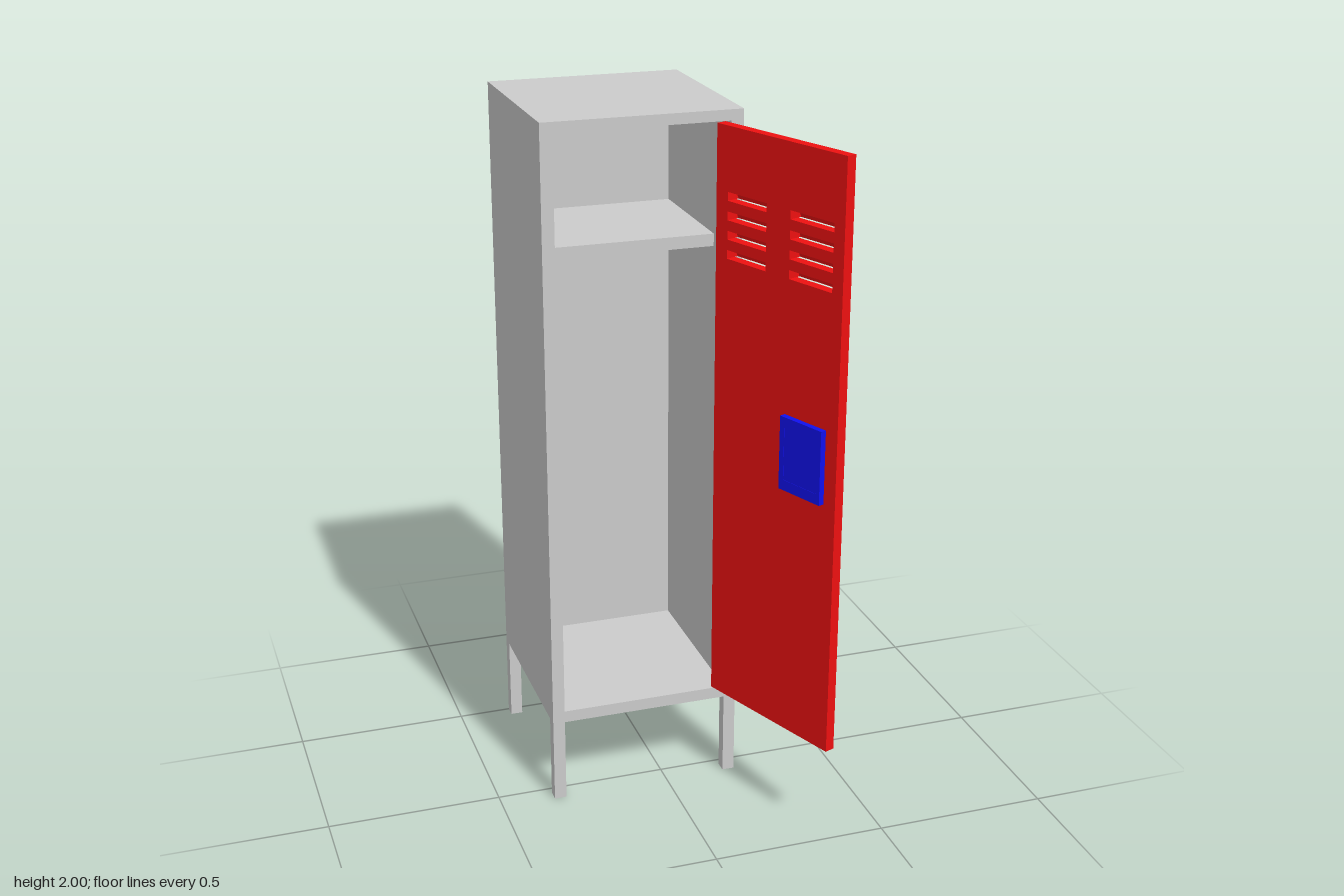
import * as THREE from 'three';

const grey = new THREE.MeshStandardMaterial({ color: 0xcccccc });
const red = new THREE.MeshStandardMaterial({ color: 0xee1111, side: THREE.DoubleSide });
const blue = new THREE.MeshStandardMaterial({ color: 0x1111ee });

// Box given by its min and max corners
function box(parent, name, [x0, y0, z0], [x1, y1, z1], material = grey) {
  const mesh = new THREE.Mesh(new THREE.BoxGeometry(x1 - x0, y1 - y0, z1 - z0), material);
  mesh.position.set((x0 + x1) / 2, (y0 + y1) / 2, (z0 + z1) / 2);
  mesh.name = name;
  parent.add(mesh);
  return mesh;
}

function rect(PathType, x0, y0, x1, y1) {
  return new PathType([[x0, y0], [x1, y0], [x1, y1], [x0, y1]].map(p => new THREE.Vector2(...p)));
}

// Plate with rectangular holes, from z0 to z1
function plate(parent, name, outline, holes, z0, z1, material) {
  const shape = rect(THREE.Shape, ...outline);
  shape.holes = holes.map(h => rect(THREE.Path, ...h));
  const geometry = new THREE.ExtrudeGeometry(shape, { depth: z1 - z0, bevelEnabled: false });
  const mesh = new THREE.Mesh(geometry, material);
  mesh.position.z = z0;
  mesh.name = name;
  parent.add(mesh);
}

// Hood over a vent slot: sloped front and triangular ends, open below and behind
function louver(parent, [x0, y0, x1, y1], out) {
  const a = [x0, y1, 0], b = [x1, y1, 0], c = [x0, y0, out], d = [x1, y0, out];
  const geometry = new THREE.BufferGeometry();
  const corners = [a, c, d, a, d, b, a, [x0, y0, 0], c, b, d, [x1, y0, 0]];
  geometry.setAttribute('position', new THREE.Float32BufferAttribute(corners.flat(), 3));
  geometry.computeVertexNormals();
  const mesh = new THREE.Mesh(geometry, red);
  mesh.name = 'louver';
  parent.add(mesh);
}

function createCabinet() {
  const g = new THREE.Group();
  g.name = 'cabinet';
  const L = -0.345, R = 0.212, B = -0.5, F = 0.058, t = 0.035;
  box(g, 'leftSide', [R - t, 0.25, B], [R, 2, F]);
  box(g, 'rightSide', [L, 0.25, B], [L + t, 2, F]);
  box(g, 'backPanel', [L + t, 0.25, B], [R - t, 2, B + t]);
  box(g, 'roof', [L + t, 1.97, B + t], [R - t, 2, F]);
  box(g, 'floor', [L + t, 0.25, B + t], [R - t, 0.285, F]);
  box(g, 'shelf', [L + t, 1.595, B + t], [R - t, 1.63, -0.07]);
  for (const x of [L, R - t])
    for (const z of [B, F - t]) box(g, 'leg', [x, 0, z], [x + t, 0.25, z + t]);
  return g;
}

// Door is modelled closed with its hinge edge at x = 0, outer face at z = 0
function createDoor() {
  const g = new THREE.Group();
  g.name = 'door';
  const slots = [];
  for (const [x0, x1] of [[-0.447, -0.287], [-0.197, -0.045]])
    for (let i = 0; i < 4; i++) {
      const y = 1.605 + i * 0.053;
      slots.push([x0, y, x1, y + 0.024]);
    }
  const pocket = [-0.44, 1.025, -0.29, 1.225];
  plate(g, 'doorPanel', [-0.485, 0.285, 0, 1.965], [...slots, pocket], -0.029, 0, red);
  slots.forEach(s => louver(g, s, 0.009));

  // Recessed handle
  const handle = new THREE.Group();
  handle.name = 'handle';
  plate(handle, 'handleFrame', [-0.448, 1.02, -0.282, 1.23], [[-0.432, 1.042, -0.298, 1.208]], -0.002, 0.003, blue);
  plate(handle, 'handlePocket', [-0.442, 1.02, -0.285, 1.23], [[-0.428, 1.05, -0.302, 1.2]], -0.046, -0.002, blue);
  box(handle, 'pocketBack', [-0.43, 1.045, -0.045], [-0.3, 1.205, -0.04], blue);
  box(handle, 'latchMount', [-0.385, 1.185, -0.04], [-0.345, 1.203, -0.008], blue);
  box(handle, 'latch', [-0.374, 1.172, -0.03], [-0.356, 1.2, -0.005]);
  g.add(handle);

  // Swung open about the hinge
  g.position.set(0.168, 0, 0.038);
  g.rotation.y = THREE.MathUtils.degToRad(111.5);
  return g;
}

export function createModel() {
  const model = new THREE.Group();
  model.name = 'locker';
  model.add(createCabinet(), createDoor());
  return model;
}
